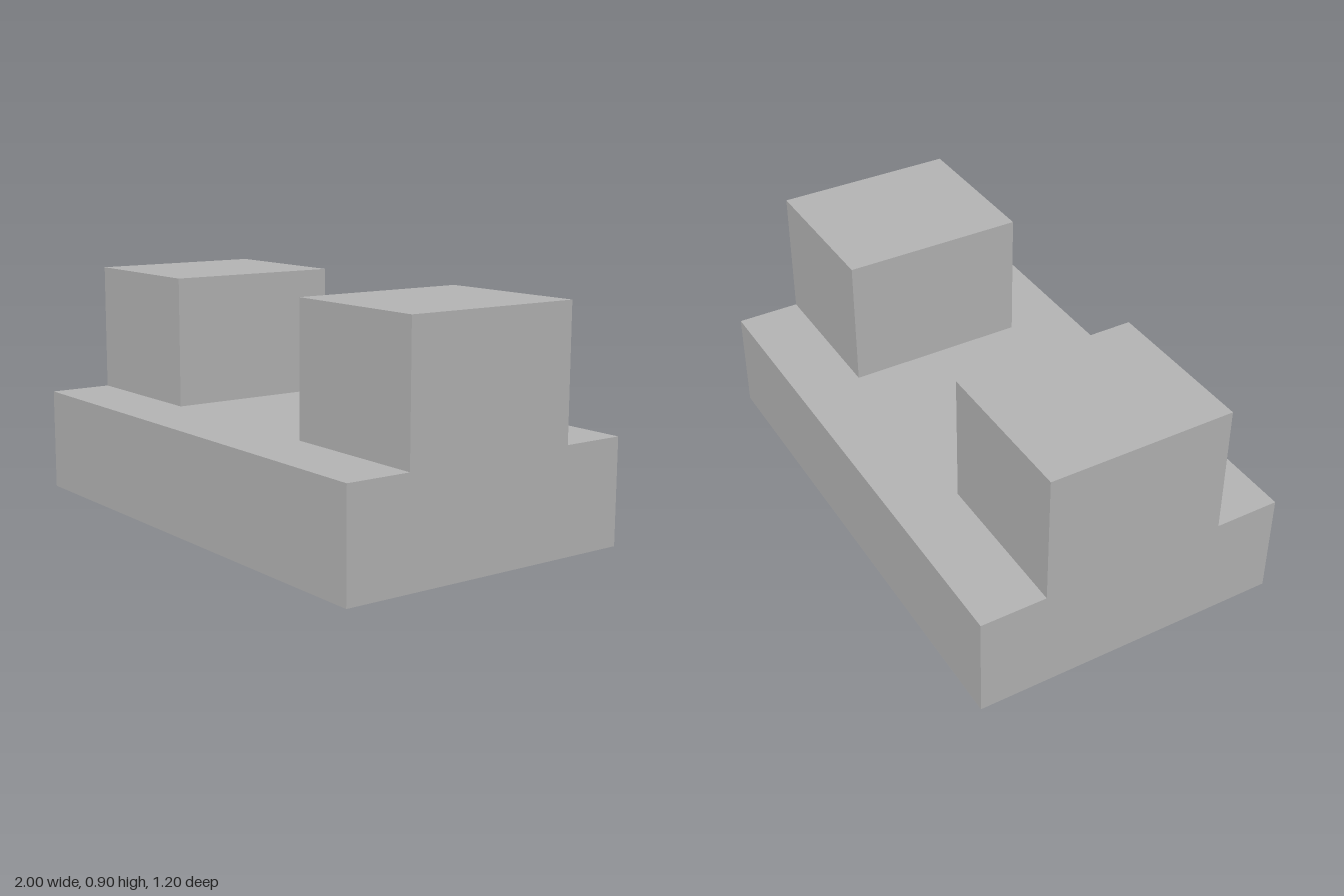
import * as THREE from 'three';

export function createModel() {
  const model = new THREE.Group();
  model.name = 'steppedBlock';

  const gray = new THREE.MeshStandardMaterial({ color: 0xb3b3b3 });
  gray.name = 'plain gray';

  // Box placed by its centre in x and its underside in y
  const addBox = (name, width, height, depth, x, bottom) => {
    const mesh = new THREE.Mesh(new THREE.BoxGeometry(width, height, depth), gray);
    mesh.name = name;
    mesh.position.set(x, bottom + height / 2, 0);
    model.add(mesh);
  };

  // Wide slab at the bottom
  addBox('base', 2, 0.4, 1.2, 0, 0);

  // Matching blocks, flush with the two ends of the slab
  for (const side of [-1, 1]) {
    addBox(side > 0 ? 'leftBlock' : 'rightBlock', 0.6, 0.5, 0.7, side * 0.7, 0.4);
  }

  return model;
}
